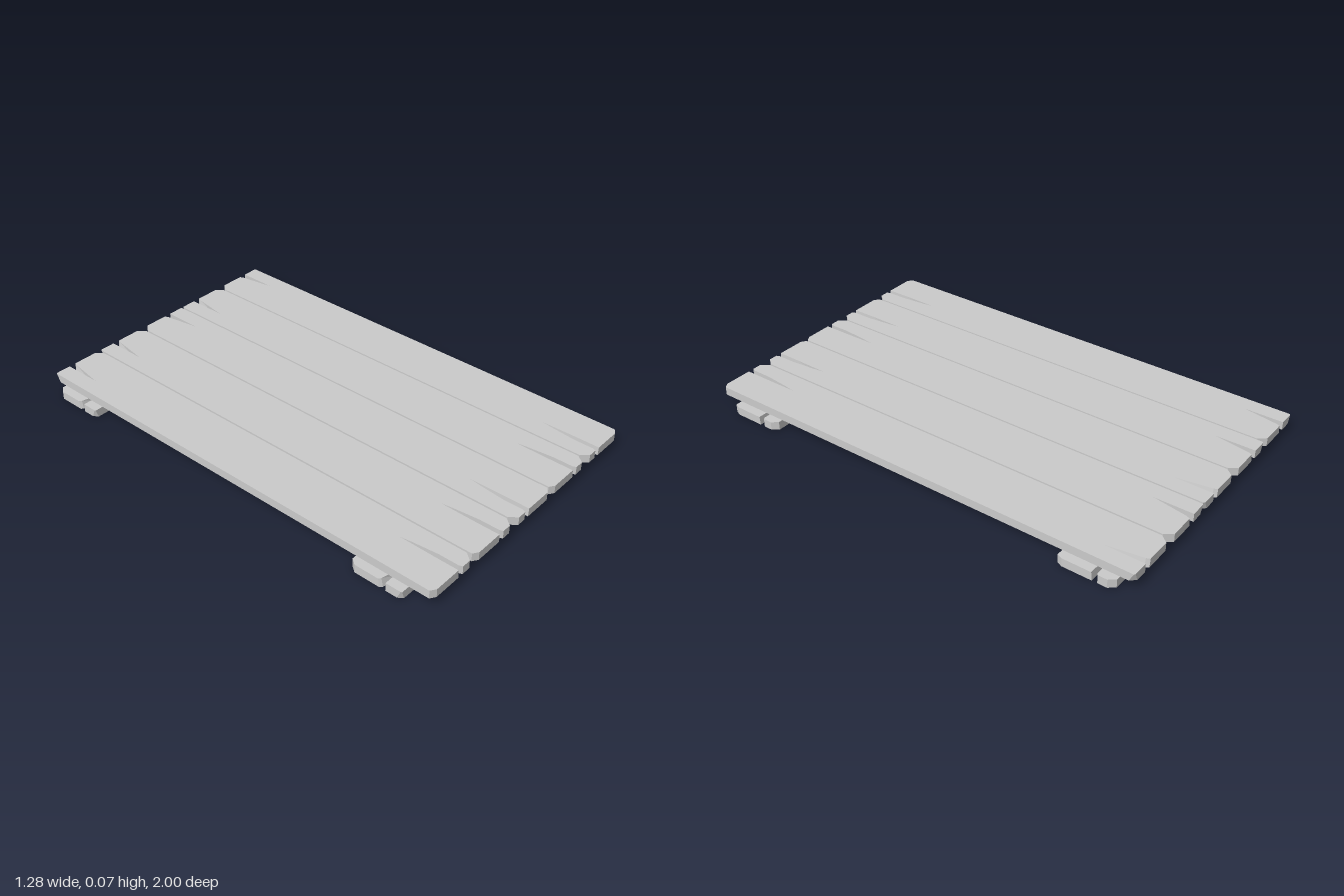
import * as THREE from 'three';

const THICK = 0.036;

// Board outline: top x, top z, then the bottom corner where the cut is slanted.
const OUTLINE = [
  // front end, with a narrow split
  [-0.118, 0.985], [-0.095, 1],
  [0.027, 1, 0.03, 1], [0.027, 0.9, 0.03, 0.9], [0.029, 0.74], [0.036, 0.79],
  [0.047, 0.9], [0.047, 0.985], [0.053, 1],
  [0.092, 1], [0.118, 0.968],
  // back end, with a wedge split and an undercut corner
  [0.118, -0.968], [0.092, -1],
  [-0.014, -1, -0.019, -1], [-0.021, -0.985, -0.029, -0.985],
  [-0.046, -0.83], [-0.047, -1],
  [-0.113, -1, -0.098, -1], [-0.118, -0.996, -0.118, -0.978],
];

// Extrudes the split board, then shifts its lower corners for the slanted cuts
function boardGeometry(mirror = 1, length = 1) {
  const shape = new THREE.Shape(OUTLINE.map(([x, z]) => new THREE.Vector2(x * mirror, -z)));
  const geo = new THREE.ExtrudeGeometry(shape, { depth: THICK, bevelEnabled: false });
  geo.rotateX(-Math.PI / 2);
  const pos = geo.attributes.position;
  for (let i = 0; i < pos.count; i++) {
    if (pos.getY(i) > THICK / 2) continue;
    const corner = OUTLINE.find(([x, z]) =>
      Math.hypot(x * mirror - pos.getX(i), z - pos.getZ(i)) < 1e-4);
    if (corner && corner.length === 4) {
      pos.setX(i, corner[2] * mirror);
      pos.setZ(i, corner[3]);
    }
  }
  geo.scale(1, 1, length);
  geo.computeVertexNormals();
  return geo;
}

export function createModel() {
  const group = new THREE.Group();
  group.name = 'plankPanel';
  const wood = new THREE.MeshStandardMaterial({ color: 0xcccccc, flatShading: true });

  // Five long planks, the third and fifth mirrored
  [1, 1, -1, 1, -1].forEach((mirror, i) => {
    const plank = new THREE.Mesh(boardGeometry(mirror), wood);
    plank.name = `plank${i + 1}`;
    plank.position.set((i - 2) * 0.2435, 0.038, 0);
    group.add(plank);
  });

  // Two cross battens underneath
  const battenGeo = boardGeometry(1, 0.642).rotateY(Math.PI / 2);
  for (const [name, z] of [['frontBatten', 0.78], ['backBatten', -0.825]]) {
    const batten = new THREE.Mesh(battenGeo, wood);
    batten.name = name;
    batten.position.z = z;
    group.add(batten);
  }
  return group;
}
